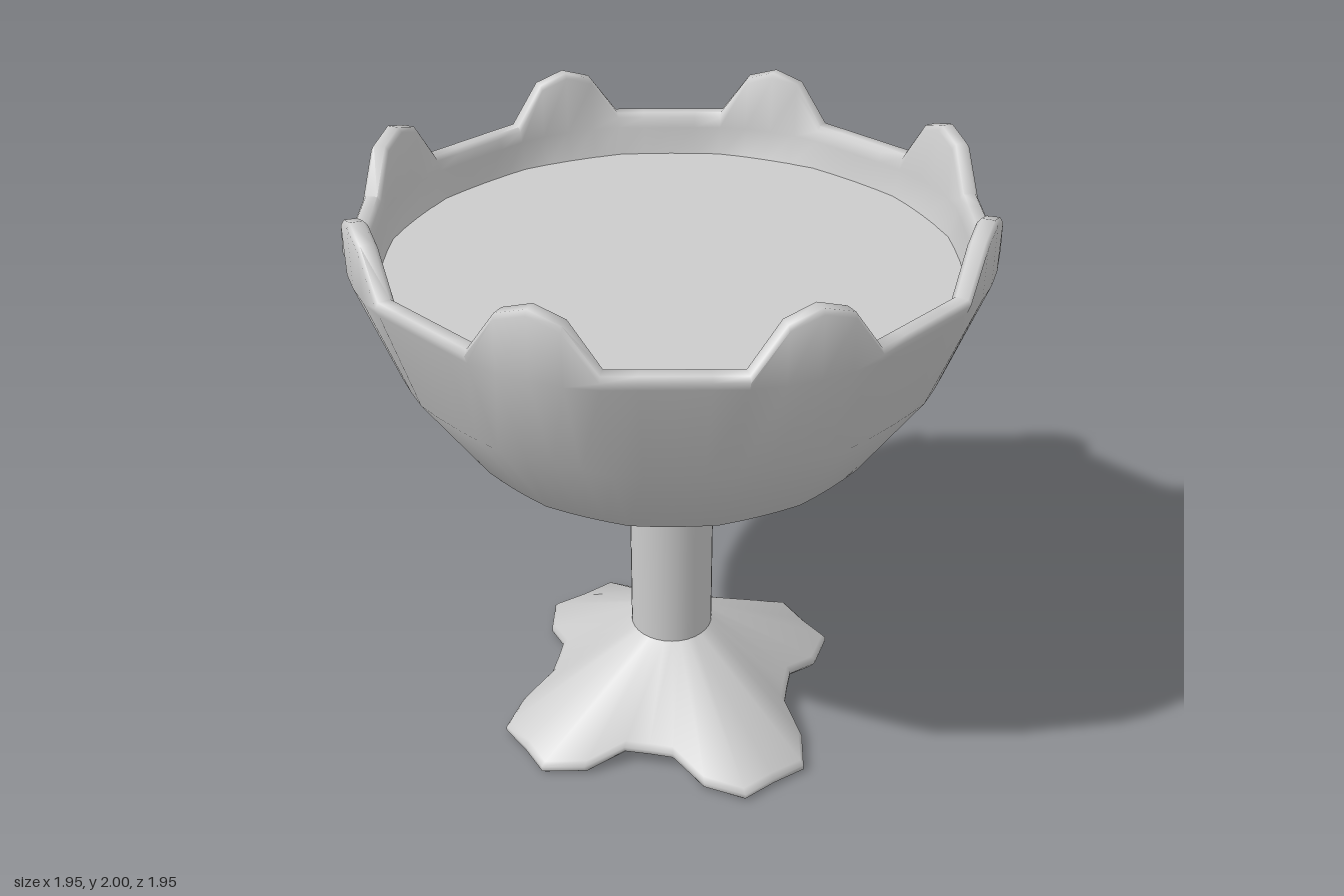
import * as THREE from 'three';
import { toCreasedNormals } from 'three/addons/utils/BufferGeometryUtils.js';

const grey = new THREE.MeshStandardMaterial({ color: 0xcccccc });

// Closed ring surface: point(i, j) gives [radius, height] at step i around, row j
function ringSurface(steps, rows, crease, point) {
  const pos = [], index = [];
  for (let j = 0; j < rows; j++) {
    for (let i = 0; i < steps; i++) {
      const a = (i / steps) * Math.PI * 2;
      const [r, y] = point(i, j);
      pos.push(r * Math.sin(a), y, r * Math.cos(a));
    }
  }
  for (let j = 0; j < rows - 1; j++) {
    for (let i = 0; i < steps; i++) {
      const k = (i + 1) % steps;
      const a = j * steps + i, b = j * steps + k;
      const c = b + steps, d = a + steps;
      index.push(a, b, c, a, c, d);
    }
  }
  const geo = new THREE.BufferGeometry();
  geo.setAttribute('position', new THREE.Float32BufferAttribute(pos, 3));
  geo.setIndex(index);
  return toCreasedNormals(geo, crease);
}

// Sixteen-sided bowl; every other side rises into a rounded petal
function bowlGeometry() {
  // radius, height, share of the petal rise
  const profile = [
    [0.14, 0.975, 0], [0.36, 1.01, 0], [0.67, 1.178, 0], [0.87, 1.48, 0],
    [0.968, 1.8, 0], [0.977, 1.825, 1], [0.967, 1.84, 1], [0.93, 1.84, 1],
    [0.918, 1.825, 1], [0.912, 1.79, 0], [0.89, 1.69, 0], [0.82, 1.5, 0],
    [0.62, 1.23, 0], [0.34, 1.06, 0], [0, 1.04, 0],
  ];
  const rise = [0, 0.13, 0.16, 0.13];
  return ringSurface(64, profile.length, 1.2, (i, j) => {
    const [r, y, share] = profile[j];
    const sub = i % 4;
    const petal = Math.floor(i / 4) % 2 === 1;
    const h = petal ? rise[sub] * share : 0;
    const flat = Math.cos(Math.PI / 16) / Math.cos((sub / 4 - 0.5) * Math.PI / 8);
    const bulge = petal && sub > 0 ? 1.008 : flat;
    const atRim = j >= 4 && j <= 9;
    return [r * (atRim ? bulge : (1 + flat) / 2) - h * 0.07, y + h];
  });
}

// Flared foot with four chamfered lobes, four raised notches and a nearly flat underside
function footGeometry() {
  const reach = [0.42, 0.43, 0.54, 0.628, 0.61, 0.628, 0.54, 0.43];
  const lift = [0.045, 0.045, 0.005, 0, 0, 0, 0.005, 0.045];
  return ringSurface(32, 7, 1.1, (i, j) => {
    const r = reach[i % 8], y = lift[i % 8];
    return [
      [0, 0.045], [0.3, 0.035], [r - 0.015, y], [r, y + 0.012],
      [r, y + 0.028], [r - 0.015, y + 0.045], [0.14, 0.325],
    ][j];
  });
}

export function createModel() {
  const group = new THREE.Group();
  const add = (name, geometry, y = 0) => {
    const mesh = new THREE.Mesh(geometry, grey);
    mesh.name = name;
    mesh.position.y = y;
    group.add(mesh);
  };
  add('bowl', bowlGeometry());
  add('liquid', new THREE.CircleGeometry(0.892, 32).rotateX(-Math.PI / 2), 1.7);
  add('stem', new THREE.CylinderGeometry(0.14, 0.14, 0.655, 32, 1, true), 0.65);
  add('foot', footGeometry());
  return group;
}
